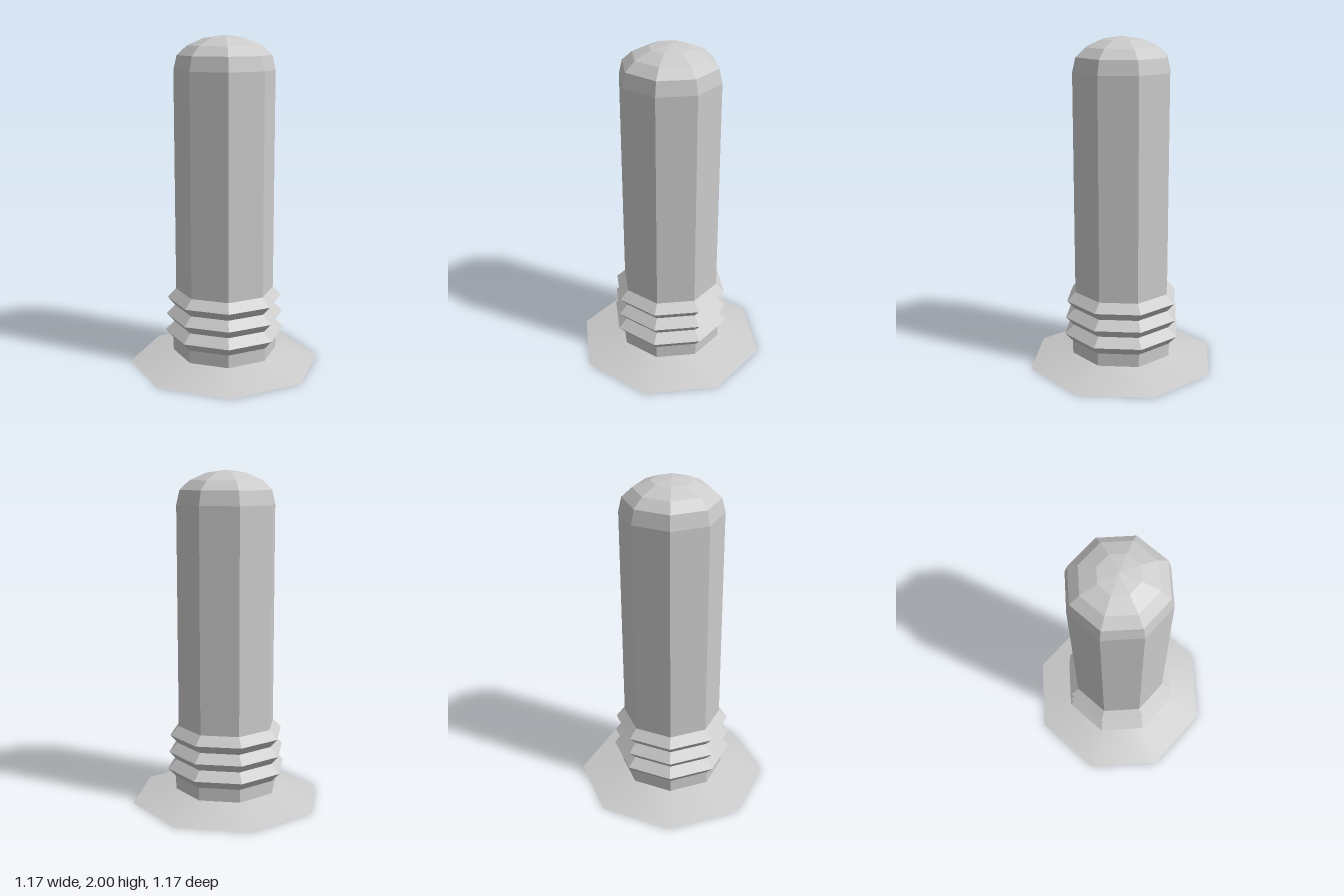
import * as THREE from 'three';

const SIDES = 8;

// Eight-sided turned shell from [radius, height] pairs, listed bottom to top
function turned(name, profile, flatShading = true) {
  const points = profile.map(([r, y]) => new THREE.Vector2(r, y));
  const material = new THREE.MeshStandardMaterial({
    color: 0xcccccc, flatShading, side: THREE.DoubleSide,
  });
  const mesh = new THREE.Mesh(new THREE.LatheGeometry(points, SIDES), material);
  mesh.name = name;
  return mesh;
}

export function createModel() {
  const group = new THREE.Group();
  group.name = 'bollard';

  // Thin sloping skirt, open underneath
  group.add(turned('baseFlange', [[0.587, 0], [0.32, 0.07]], false));

  // Short straight collar
  group.add(turned('collar', [[0.32, 0.07], [0.32, 0.15]]));

  // Three bellows ridges, narrowing upwards
  const bellows = [[0.32, 0.15]];
  for (let i = 0; i < 3; i++) {
    const y = 0.15 + i * 0.106;
    bellows.push([0.369 - i * 0.008, y + 0.053], [0.313 - i * 0.0065, y + 0.106]);
  }
  group.add(turned('bellows', bellows));

  // Tall post
  group.add(turned('post', [[0.30, 0.468], [0.30, 1.8]]));

  // Faceted dome
  group.add(turned('domeCap', [[0.30, 1.8], [0.28, 1.885], [0.22, 1.94], [0.12, 1.983], [0, 2]]));

  return group;
}
